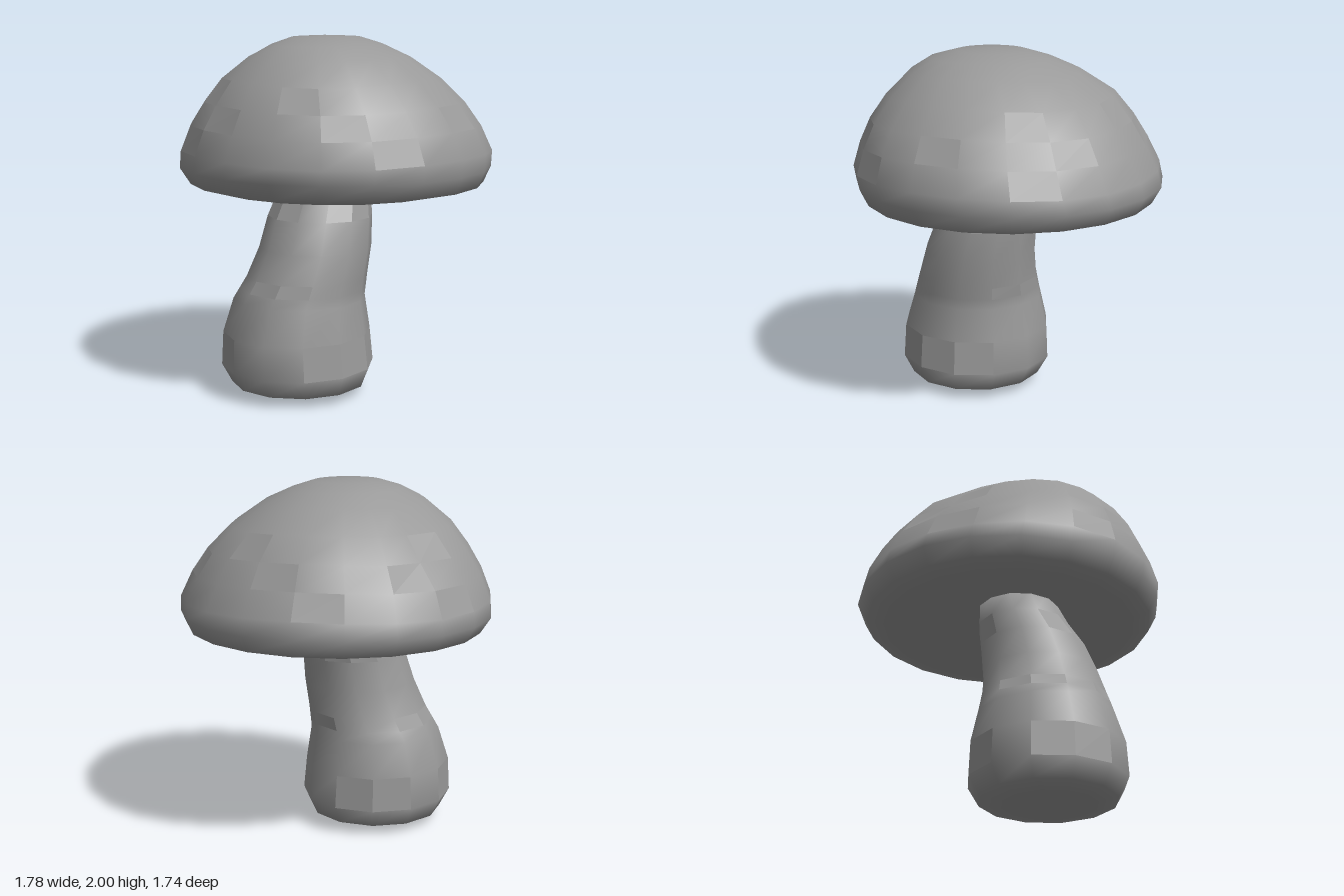
import * as THREE from 'three';
import { mergeVertices } from 'three/addons/utils/BufferGeometryUtils.js';

// Closed skin over oval rings [y, xMin, xMax, zMin, zMax]; first and last rings are points.
// move(p, angle) shifts each point; isFlat(ring, side) picks facets that stay hard-edged.
function loft(rings, sides, isFlat, move = () => {}) {
  const pos = [], index = [], flat = [];
  rings.forEach(([y, x0, x1, z0, z1]) => {
    for (let j = 0; j < sides; j++) {
      const a = (j / sides) * Math.PI * 2;
      const p = new THREE.Vector3(
        (x0 + x1) / 2 + ((x1 - x0) / 2) * Math.cos(a), y,
        (z0 + z1) / 2 + ((z1 - z0) / 2) * Math.sin(a));
      move(p, a);
      pos.push(p.x, p.y, p.z);
    }
  });
  for (let i = 0; i < rings.length - 1; i++) {
    for (let j = 0; j < sides; j++) {
      const k = (j + 1) % sides;
      const a = i * sides + j, b = i * sides + k, c = a + sides, d = b + sides;
      const tris = [];
      if (i > 0) tris.push([a, c, b]);
      if (i < rings.length - 2) tris.push([b, c, d]);
      tris.forEach((t) => {
        index.push(...t);
        flat.push(isFlat(i, j));
      });
    }
  }
  let g = new THREE.BufferGeometry();
  g.setAttribute('position', new THREE.Float32BufferAttribute(pos, 3));
  g.setIndex(index);
  g = mergeVertices(g, 1e-5);
  g.computeVertexNormals();
  g = g.toNonIndexed();

  // Hard-edged facets take their own face normal
  const hard = g.clone();
  hard.computeVertexNormals();
  const from = hard.attributes.normal, to = g.attributes.normal;
  for (let v = 0; v < to.count; v++) {
    if (flat[Math.floor(v / 3)]) to.setXYZ(v, from.getX(v), from.getY(v), from.getZ(v));
  }
  return g;
}

export function createModel() {
  const group = new THREE.Group();
  const material = new THREE.MeshStandardMaterial({ color: 0x999999 });

  // Cap: hollowed underside, rolled rim, slightly lopsided dome
  const capRings = [
    [1.27, 0, 0, 0.08, 0.08],
    [1.25, -0.36, 0.36, -0.34, 0.36],
    [1.18, -0.56, 0.56, -0.54, 0.55],
    [1.15, -0.7, 0.7, -0.69, 0.7],
    [1.18, -0.83, 0.84, -0.82, 0.81],
    [1.27, -0.89, 0.88, -0.87, 0.86],
    [1.36, -0.875, 0.89, -0.85, 0.87],
    [1.5, -0.81, 0.83, -0.78, 0.83],
    [1.63, -0.72, 0.74, -0.7, 0.775],
    [1.76, -0.61, 0.61, -0.59, 0.69],
    [1.88, -0.44, 0.45, -0.4, 0.57],
    [1.95, -0.31, 0.3, -0.25, 0.45],
    [1.99, -0.2, 0.18, -0.1, 0.3],
    [2.0, -0.02, -0.02, 0.1, 0.1],
  ];
  const dent = new THREE.Vector3(-0.64, 1.7, -0.14);
  const capFlat = (i, j) => i >= 6 && i <= 8 && (j * 7 + i * 5) % 11 < 3;
  const cap = new THREE.Mesh(loft(capRings, 20, capFlat, (p, a) => {
    // Gentle unevenness around the dome and one shallow dent on its side
    if (p.y > 1.3 && p.y < 1.9) p.y += 0.01 * Math.sin(3 * a + 1);
    const f = 1 - 0.1 * Math.exp(-p.distanceToSquared(dent) / 0.015);
    p.x *= f;
    p.z *= f;
  }), material);
  cap.name = 'cap';

  // Stem: leans back as it rises, swollen at the foot
  const stemRings = [
    [0, -0.2, -0.2, 0.28, 0.28],
    [0.025, -0.38, 0.1, 0.02, 0.5],
    [0.055, -0.5, 0.26, -0.14, 0.62],
    [0.16, -0.555, 0.3, -0.2, 0.68],
    [0.35, -0.545, 0.28, -0.19, 0.67],
    [0.54, -0.49, 0.25, -0.15, 0.61],
    [0.6, -0.455, 0.255, -0.145, 0.59],
    [0.67, -0.415, 0.26, -0.14, 0.565],
    [0.83, -0.355, 0.275, -0.14, 0.51],
    [1.0, -0.325, 0.265, -0.155, 0.44],
    [1.14, -0.285, 0.235, -0.17, 0.35],
    [1.28, -0.24, 0.2, -0.17, 0.28],
    [1.3, 0, 0, 0.05, 0.05],
  ];
  // Chiselled bands around the foot, middle and neck
  const stemFlat = (i, j) => [3, 6, 9].includes(i) && (j * 5 + i) % 7 < 4;
  const stem = new THREE.Mesh(loft(stemRings, 12, stemFlat), material);
  stem.name = 'stem';

  group.add(cap, stem);
  return group;
}
